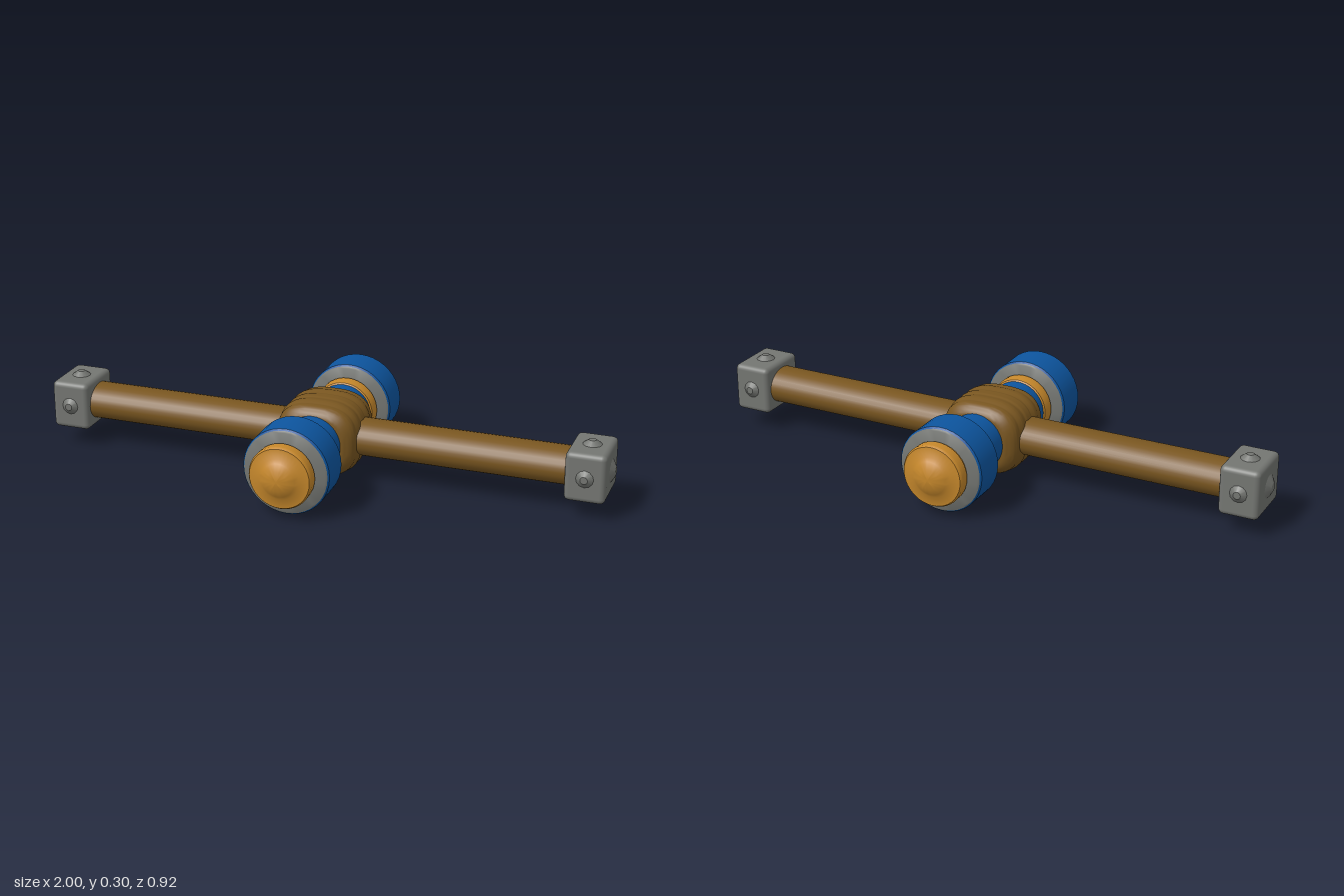
import * as THREE from 'three';
import { toCreasedNormals } from 'three/addons/utils/BufferGeometryUtils.js';
import { RoundedBoxGeometry } from 'three/addons/geometries/RoundedBoxGeometry.js';

function material(name, color) {
  const m = new THREE.MeshStandardMaterial({ color });
  m.name = name;
  return m;
}

// Solid of revolution around z from [radius, z] pairs with rising z
function turned(profile, segments = 40) {
  const points = profile.map(([r, z]) => new THREE.Vector2(r, z));
  return toCreasedNormals(new THREE.LatheGeometry(points, segments).rotateX(Math.PI / 2), 0.6);
}

export function createModel() {
  const gold = material('gold', 0xc5872b);
  const brown = material('brown', 0x795620);
  const blue = material('blue', 0x0d559f);
  const grey = material('grey', 0x747672);
  const model = new THREE.Group();
  model.name = 'crossbarWithWheels';
  const body = new THREE.Group();
  body.name = 'body';
  body.position.y = 0.15;
  model.add(body);

  function add(parent, name, geometry, mat) {
    const mesh = new THREE.Mesh(geometry, mat);
    mesh.name = name;
    parent.add(mesh);
    return mesh;
  }

  // Long bar, slightly wider than tall
  add(body, 'bar', new THREE.CylinderGeometry(1, 1, 1.76, 28)
    .rotateZ(Math.PI / 2).scale(1, 0.063, 0.078), brown);

  // Ridged wrapping at the crossing, with a squarish cross-section
  const steps = 48;
  const wrap = [new THREE.Vector2(0, -0.122), new THREE.Vector2(0.7, -0.122)];
  for (let i = 0; i <= steps; i++) {
    const t = -1 + (2 * i) / steps;
    const barrel = 1 - 0.2 * Math.pow(Math.abs(t), 5);
    const ridge = 0.035 * (Math.abs(Math.cos(t * Math.PI * 2.5)) - 1);
    wrap.push(new THREE.Vector2(barrel + ridge, t * 0.119));
  }
  wrap.push(new THREE.Vector2(0.7, 0.122), new THREE.Vector2(0, 0.122));
  const wrapGeometry = new THREE.LatheGeometry(wrap, 48).rotateX(Math.PI / 2);
  const p = wrapGeometry.attributes.position;
  for (let i = 0; i < p.count; i++) {
    const x = p.getX(i), y = p.getY(i), r = Math.hypot(x, y);
    if (r < 1e-6) continue;
    const k = Math.pow(Math.abs(x / r) ** 2.8 + Math.abs(y / r) ** 2.8, -1 / 2.8);
    p.setXY(i, x * k * 0.146, y * k * 0.13);
  }
  add(body, 'wrapping', toCreasedNormals(wrapGeometry, 0.9), brown);

  // Axle halves with collar, wheel and domed cap
  for (const side of [1, -1]) {
    const half = new THREE.Group();
    half.name = side > 0 ? 'frontWheelSet' : 'backWheelSet';
    half.rotation.y = side > 0 ? 0 : Math.PI;
    body.add(half);
    add(half, 'axle', turned([[0, 0], [0.098, 0], [0.098, 0.2], [0, 0.2]]), blue);
    add(half, 'collar', turned([[0, 0.188], [0.095, 0.188], [0.103, 0.194], [0.108, 0.215],
      [0.108, 0.232], [0.1, 0.238], [0.1, 0.25]]), gold);
    add(half, 'wheelInnerFace', turned([[0.06, 0.244], [0.138, 0.244], [0.144, 0.248]]), grey);
    add(half, 'tyre', turned([[0.144, 0.248], [0.149, 0.254], [0.149, 0.367], [0.144, 0.373]]), blue);
    add(half, 'wheelOuterFace', turned([[0.144, 0.373], [0.138, 0.377], [0.06, 0.377]]), grey);
    add(half, 'wheelCap', turned([[0.1, 0.37], [0.1, 0.383], [0.107, 0.389], [0.108, 0.422],
      [0.103, 0.43], [0.07, 0.434], [0.058, 0.443], [0.035, 0.454], [0.012, 0.459], [0, 0.46]]), gold);
  }

  // Block ends with a low stud on every outer face
  for (const side of [1, -1]) {
    const end = new THREE.Group();
    end.name = side > 0 ? 'leftEnd' : 'rightEnd';
    end.position.x = side * 0.918;
    end.rotation.y = side > 0 ? 0 : Math.PI;
    body.add(end);
    add(end, 'endBlock', new RoundedBoxGeometry(0.136, 0.17, 0.196, 3, 0.018), grey);
    const stud = (name, height, radius) =>
      add(end, name, new THREE.CylinderGeometry(radius * 0.35, radius, height, 12), grey);
    for (const s of [1, -1]) {
      stud(s > 0 ? 'topStud' : 'bottomStud', 0.018, 0.036).position.y = s * 0.091;
      if (s < 0) end.children.at(-1).rotation.x = Math.PI;
      const sideStud = stud('sideStud', 0.018, 0.036);
      sideStud.position.z = s * 0.102;
      sideStud.rotation.x = s * Math.PI / 2;
    }
    const tip = stud('endStud', 0.016, 0.045);
    tip.position.x = 0.074;
    tip.rotation.z = -Math.PI / 2;
  }
  return model;
}
